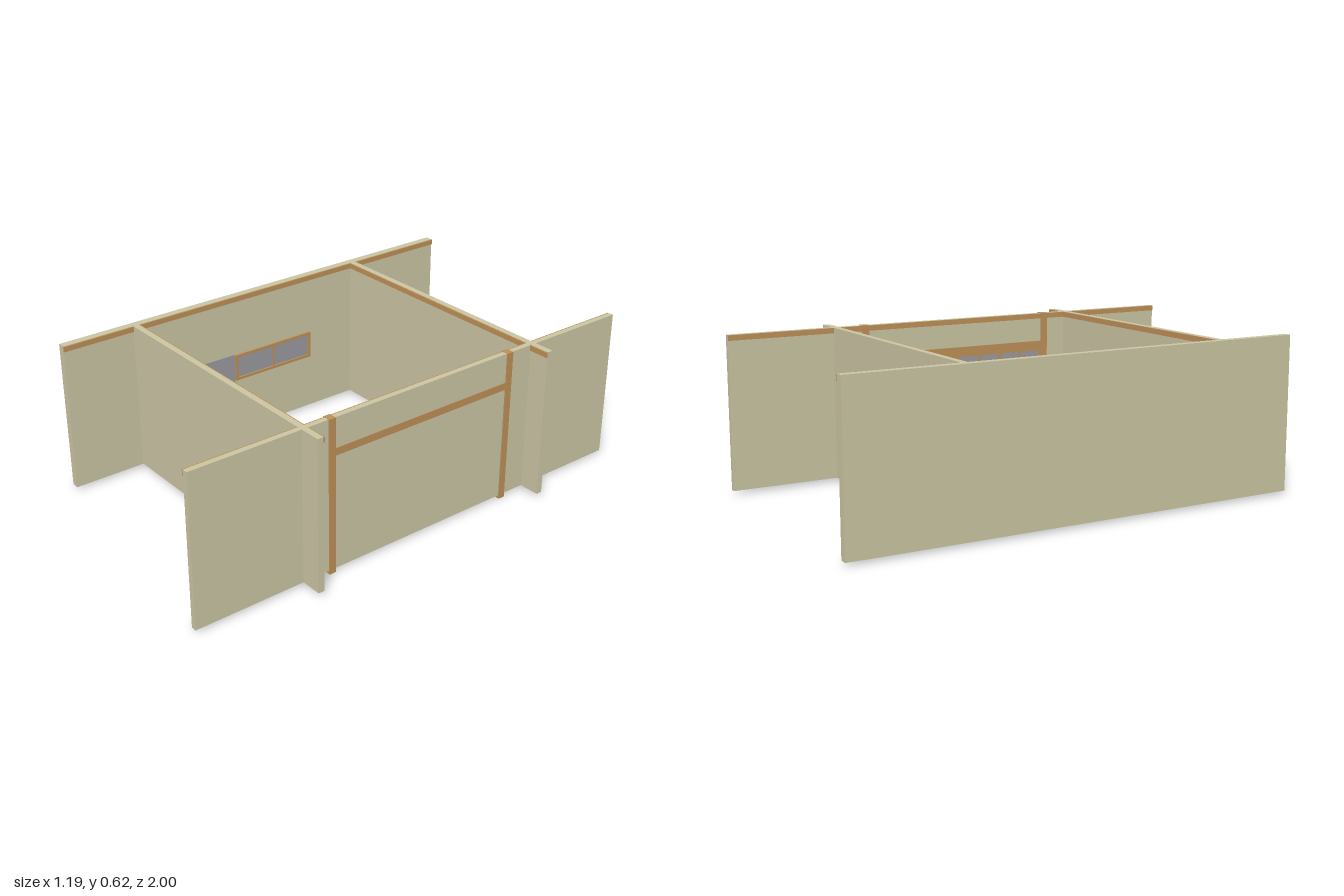
import * as THREE from 'three';

const wall = new THREE.MeshStandardMaterial({ name: 'plaster', color: 0xcac4a2 });
const wood = new THREE.MeshStandardMaterial({ name: 'wood', color: 0xbc8f57 });
const grey = new THREE.MeshStandardMaterial({ name: 'greyPane', color: 0x9a9a9e });

// Box given by its min and max on each axis
function box(parent, name, mat, [x0, x1], [y0, y1], [z0, z1]) {
  const mesh = new THREE.Mesh(new THREE.BoxGeometry(x1 - x0, y1 - y0, z1 - z0), mat);
  mesh.position.set((x0 + x1) / 2, (y0 + y1) / 2, (z0 + z1) / 2);
  mesh.name = name;
  parent.add(mesh);
}

function group(parent, name) {
  const g = new THREE.Group();
  g.name = name;
  parent.add(g);
  return g;
}

export function createModel() {
  const model = new THREE.Group();
  model.name = 'roomWalls';
  const H = [0.016, 0.626];
  const trimY = [0.604, 0.625];

  // Long solid wall with a ceiling trim along its inner face
  const long = group(model, 'longWall');
  box(long, 'longWallPanel', wall, [-0.597, -0.566], H, [-1, 0.85]);
  box(long, 'longWallTrim', wood, [-0.566, -0.561], trimY, [-1, 0.85]);

  // Door and two-pane window on the long wall
  box(long, 'door', grey, [-0.566, -0.563], [0.016, 0.37], [0.085, 0.243]);
  const win = group(long, 'window');
  const [wy0, wy1, wz0, wz1, f] = [0.253, 0.368, -0.306, 0.083, 0.012];
  box(win, 'windowGlass', grey, [-0.566, -0.563], [wy0, wy1], [wz0, wz1]);
  for (const y of [wy0, wy1 - f]) box(win, 'windowRail', wood, [-0.566, -0.557], [y, y + f], [wz0, wz1]);
  for (const z of [wz0, wz1 - f]) box(win, 'windowJamb', wood, [-0.566, -0.557], [wy0 + f, wy1 - f], [z, z + f]);
  box(win, 'windowMullion', wood, [-0.566, -0.559], [wy0 + f, wy1 - f], [-0.115, -0.107]);

  // Two cross walls, trimmed on the sides that face the room
  const cross = group(model, 'crossWalls');
  box(cross, 'rearCrossWall', wall, [-0.566, 0.596], H, [-0.557, -0.532]);
  box(cross, 'rearCrossTrim', wood, [-0.566, 0.596], trimY, [-0.532, -0.527]);
  box(cross, 'frontCrossWall', wall, [-0.566, 0.596], H, [0.522, 0.547]);
  box(cross, 'frontCrossTrim', wood, [-0.566, 0.596], trimY, [0.517, 0.522]);

  // Entrance wall with inner trim
  const side = group(model, 'entranceWall');
  box(side, 'entrancePanel', wall, [0.488, 0.51], [0.0165, 0.6255], [-0.99, 1]);
  box(side, 'entranceTrim', wood, [0.483, 0.488], trimY, [-0.99, 1]);

  // Posts and lintel
  for (const z of [-0.42, 0.42]) box(side, 'post', wood, [0.481, 0.515], [0.003, 0.627], [z - 0.014, z + 0.014]);
  box(side, 'lintel', wood, [0.482, 0.513], [0.478, 0.507], [-0.406, 0.406]);

  // Lattice screen inside the opening
  const screen = group(side, 'latticeScreen');
  box(screen, 'screenPane', grey, [0.485, 0.488], [0.018, 0.478], [-0.406, 0.406]);
  for (let i = 0; i <= 8; i++) {
    const z = -0.4 + i * 0.1;
    const w = i % 2 ? 0.004 : 0.007;
    box(screen, 'latticeUpright', wood, [0.481, 0.485], [0.018, 0.478], [z - w, z + w]);
  }
  for (let i = 0; i < 4; i++) {
    const y = 0.025 + i * 0.149;
    box(screen, 'latticeBar', wood, [0.482, 0.485], [y - 0.006, y + 0.006], [-0.406, 0.406]);
  }
  return model;
}
